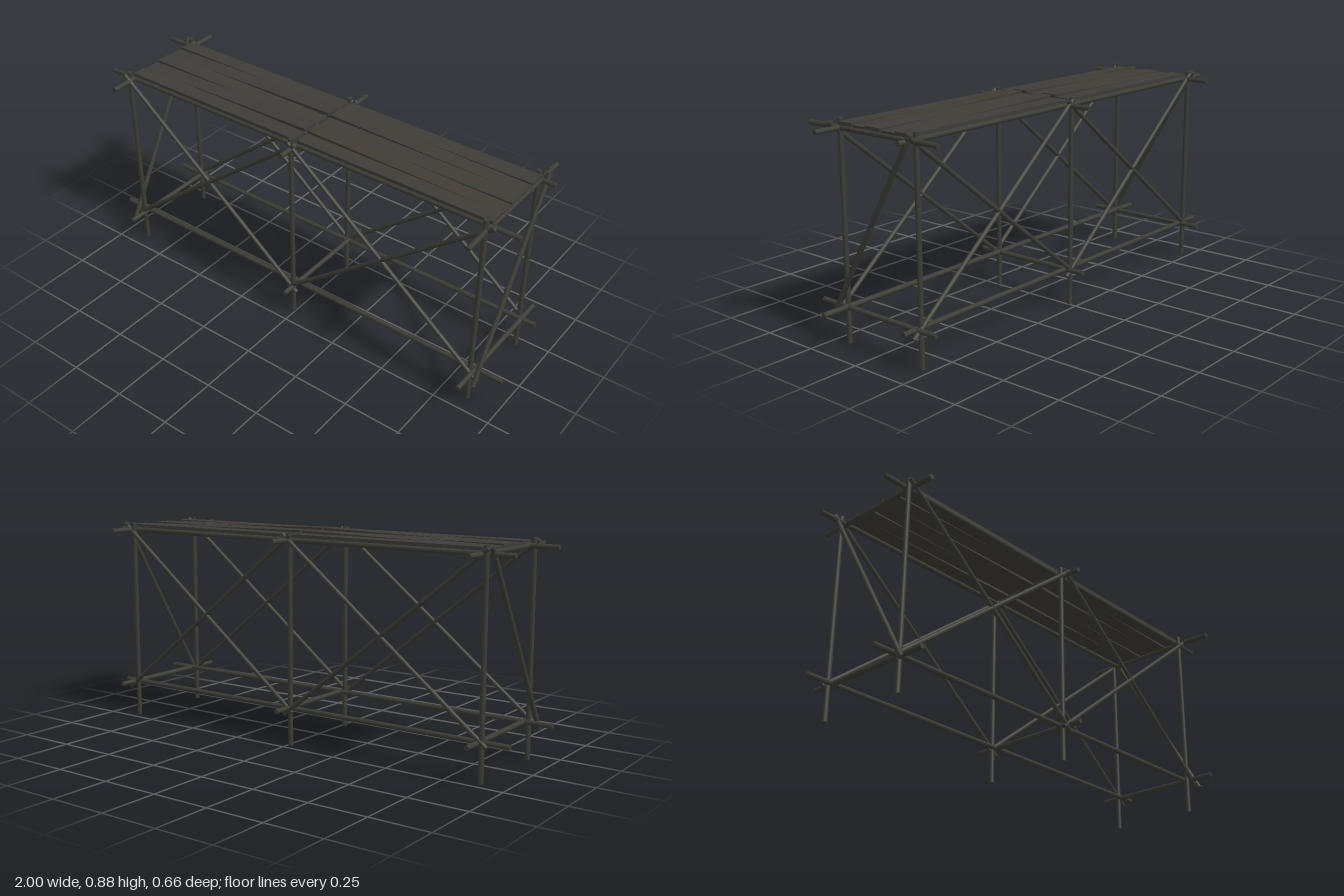
import * as THREE from 'three';

const R = 0.0105;

export function createModel() {
  const group = new THREE.Group();
  const pole = new THREE.MeshStandardMaterial({ color: 0x3b3c34 });
  pole.name = 'weathered pole';
  const plank = new THREE.MeshStandardMaterial({ color: 0x3d3c37 });
  plank.name = 'grey plank';
  const brown = new THREE.MeshStandardMaterial({ color: 0x403b33 });
  brown.name = 'brown plank';
  const up = new THREE.Vector3(0, 1, 0);

  // Round pole between two points
  function addPole(name, a, b, r = R) {
    const p = new THREE.Vector3(...a), q = new THREE.Vector3(...b);
    const d = q.clone().sub(p);
    const mesh = new THREE.Mesh(new THREE.CylinderGeometry(r, r, d.length(), 12), pole);
    mesh.name = name;
    mesh.position.copy(p).add(q).multiplyScalar(0.5);
    mesh.quaternion.setFromUnitVectors(up, d.normalize());
    group.add(mesh);
  }

  // Upright posts
  for (const x of [-0.89, -0.01, 0.865])
    for (const z of [0.18, -0.211]) addPole('post', [x, 0, z], [x, 0.88, z]);

  // Long rails, lower and upper
  for (const y of [0.155, 0.848]) {
    addPole('frontRail', [-1, y, 0.165], [1, y, 0.165]);
    addPole('backRail', [-1, y, -0.2], [0.945, y, -0.2]);
  }

  // Cross bars: x, then upper z range, then lower z range
  for (const [x, u0, u1, l0, l1] of [
    [-0.875, -0.32, 0.29, -0.3, 0.28],
    [0.005, -0.31, 0.265, -0.29, 0.26],
    [0.88, -0.33, 0.33, -0.3, 0.3],
  ]) {
    addPole('upperCrossBar', [x, 0.848, u0], [x, 0.848, u1]);
    addPole('lowerCrossBar', [x, 0.155, l0], [x, 0.155, l1]);
  }

  // Crossed braces on front and back of each bay
  for (const z of [0.198, -0.216])
    for (const x of [-0.9, -0.012]) {
      addPole('fallingBrace', [x, 0.87, z], [x + 0.92, 0.128, z], 0.0095);
      addPole('risingBrace', [x - 0.012, 0.14, z], [x + 0.922, 0.87, z], 0.0095);
    }

  // Diagonal braces at both ends
  for (const x of [-0.916, 0.904])
    addPole('endBrace', [x, 0.117, 0.22], [x, 0.876, -0.219]);

  // Deck planks: second and fourth of each bay lift toward the middle
  const bays = [
    { x: -0.4425, len: 0.871, tilt: 1, edges: [-0.2, -0.128, -0.056, 0.022, 0.096, 0.168] },
    { x: 0.4465, len: 0.875, tilt: -1, edges: [-0.2, -0.124, -0.052, 0.03, 0.098, 0.168] },
  ];
  bays.forEach(({ x, len, tilt, edges }, bay) => {
    for (let i = 0; i < 5; i++) {
      const width = edges[i + 1] - edges[i] - 0.004;
      const mesh = new THREE.Mesh(
        new THREE.BoxGeometry(len, 0.014, width), bay === 1 && i === 3 ? brown : plank);
      mesh.name = 'deckPlank';
      const lifted = i % 2 === 1;
      mesh.position.set(x, lifted ? 0.867 : 0.865, (edges[i] + edges[i + 1]) / 2);
      mesh.rotation.z = lifted ? tilt * 0.018 : 0;
      mesh.rotation.y = (i % 2 ? 1 : -1) * 0.002;
      group.add(mesh);
    }
  });

  return group;
}
